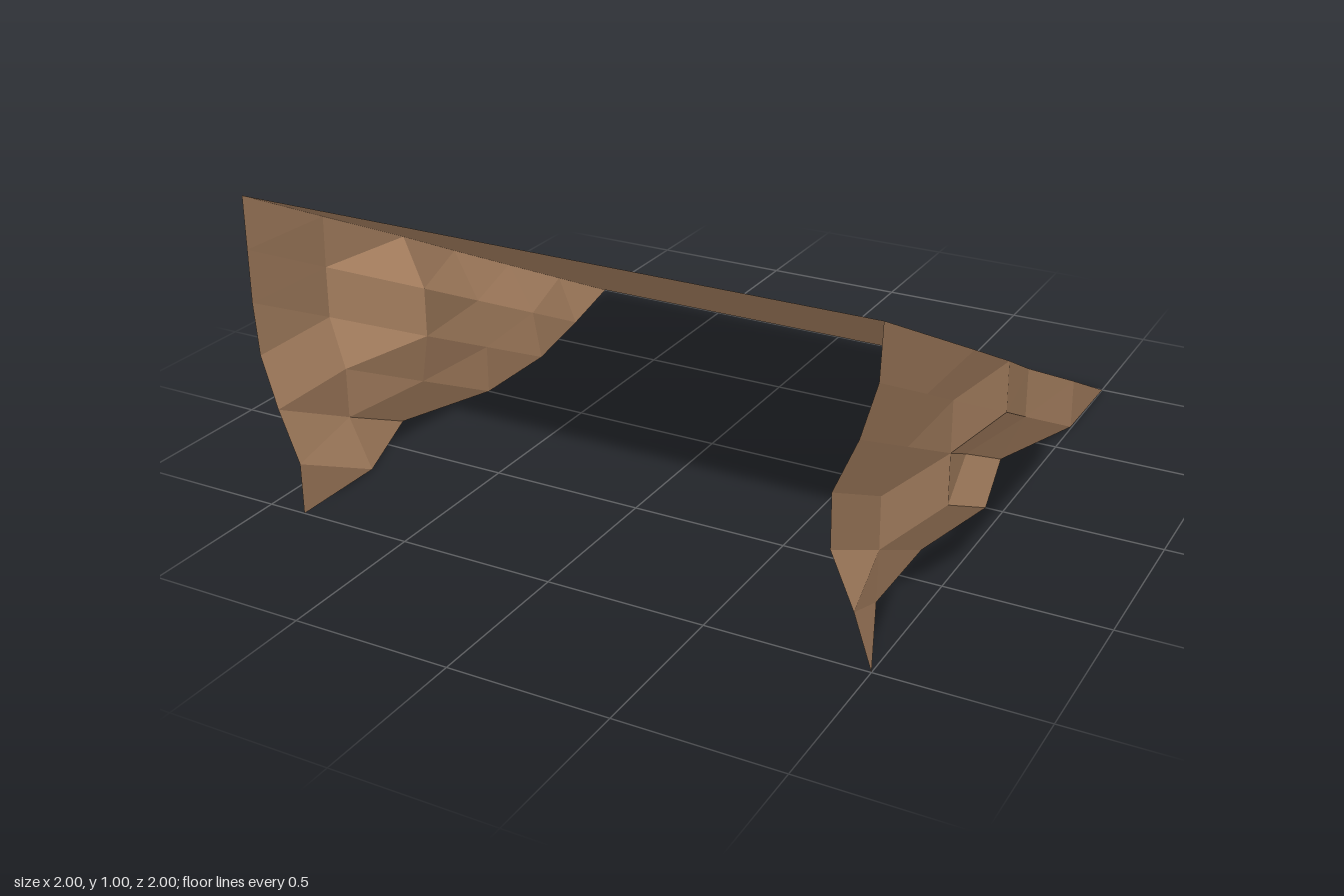
import * as THREE from 'three';

const N = 6; // grid steps along the length and the height

// Inward dents of each side wall in hundredths: one row per column from the
// front (z = 1) to the back, each listed from the ground up to the slope.
const leftDents = [
  [0, 5.5, 12.7, 12.7, 5.5, 0.7, 0],
  [13, 12.7, 12.7, 5.5, 0.7, 0],
  [13, 5.5, 5.5, 5.5, 0],
  [5.5, 12.7, 0.7, 0.8],
  [12.7, 5.5, 5.5],
  [0.4, 0.5],
  [0],
];
const rightDents = [
  [12.7, 12.7, 6.2, 1.2, 0, 0, 0],
  [13, 5.5, 5.5, 0.7, 0.8, 1.2],
  [0.7, 10, 12.7, 12.7, 5.7],
  [12.7, 12.7, 10, 1.3],
  [13, 10, 0.5],
  [7, 0.2],
  [0],
];

// Point of a wall at column i, row j; side is +1 or -1
function wallPoint(side, dents, i, j) {
  return [side * (1 - dents[i][j] / 100), j / N, 1 - (2 * i) / N];
}

function facetMesh(name, triangles, material) {
  const geometry = new THREE.BufferGeometry();
  geometry.setAttribute('position', new THREE.Float32BufferAttribute(triangles.flat(2), 3));
  geometry.computeVertexNormals(); // unshared corners keep every facet flat
  const mesh = new THREE.Mesh(geometry, material);
  mesh.name = name;
  return mesh;
}

// Triangular rocky wall below one edge of the slope
function rockWall(name, side, dents, material) {
  const triangles = [];
  const add = (...corners) => {
    const t = corners.map(([i, j]) => wallPoint(side, dents, i, j));
    triangles.push(side > 0 ? t : t.reverse());
  };
  for (let i = 0; i < N; i++) {
    for (let j = 0; i + j < N; j++) {
      add([i, j], [i + 1, j], [i, j + 1]);
      if (i + j < N - 1) add([i + 1, j], [i + 1, j + 1], [i, j + 1]);
    }
  }
  return facetMesh(name, triangles, material);
}

export function createModel() {
  const sandstone = new THREE.MeshStandardMaterial({
    color: 0xc89a74, side: THREE.DoubleSide, flatShading: true,
  });
  sandstone.name = 'sandstone';

  const model = new THREE.Group();
  model.name = 'rockRamp';
  model.add(rockWall('leftRockWall', 1, leftDents, sandstone));
  model.add(rockWall('rightRockWall', -1, rightDents, sandstone));

  // Flat sloping top joining the upper edges of both walls
  const slope = [];
  for (let i = 0; i < N; i++) {
    const l0 = wallPoint(1, leftDents, i, N - i);
    const l1 = wallPoint(1, leftDents, i + 1, N - i - 1);
    const r0 = wallPoint(-1, rightDents, i, N - i);
    const r1 = wallPoint(-1, rightDents, i + 1, N - i - 1);
    slope.push([r0, l0, l1], [r0, l1, r1]);
  }
  model.add(facetMesh('slopeTop', slope, sandstone));
  return model;
}
